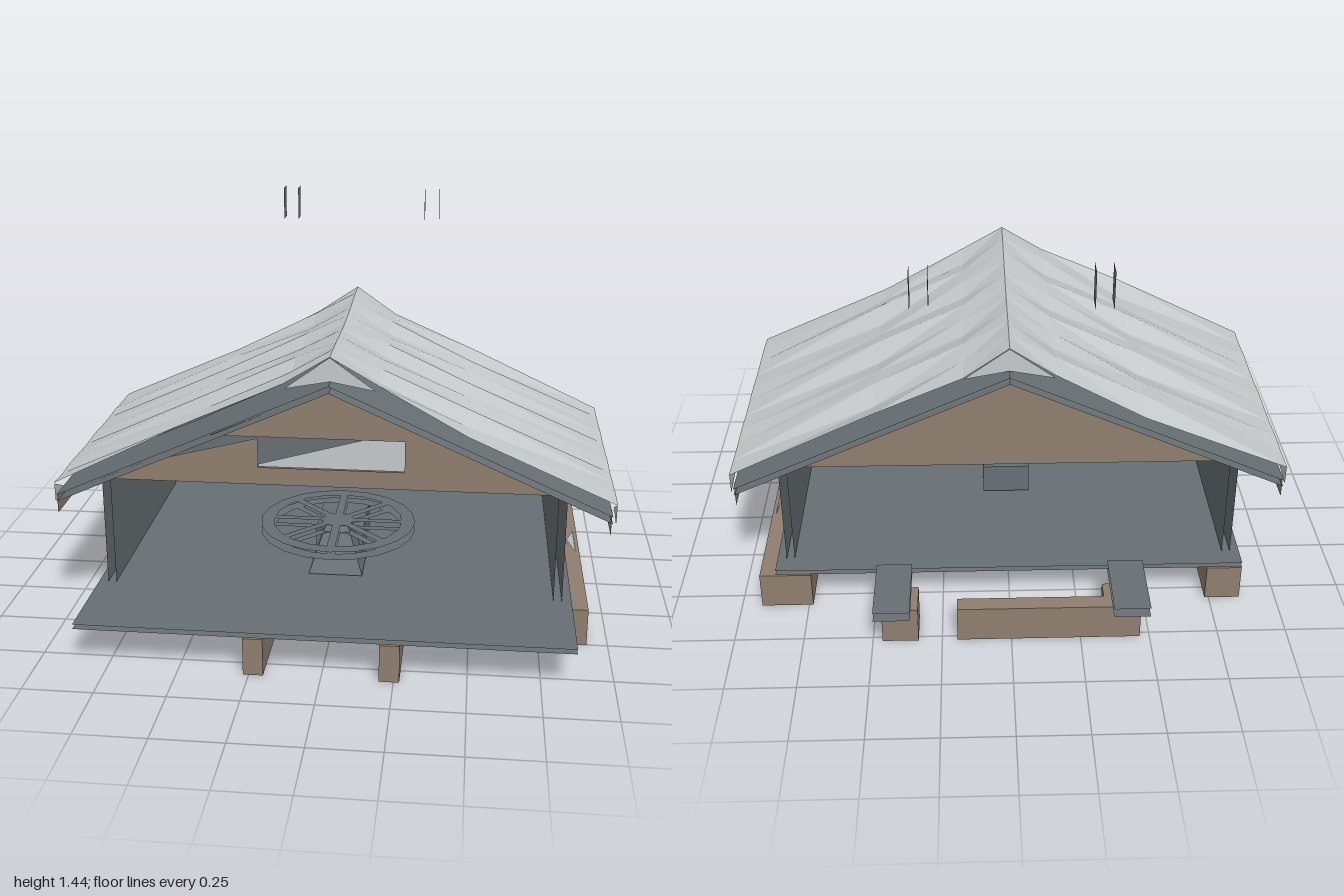
import * as THREE from 'three';

const mat = (name, color) => Object.assign(new THREE.MeshStandardMaterial({ color, side: THREE.DoubleSide, flatShading: true }), { name });

export function createModel() {
  const slate = mat('slate', 0x687074);
  const wood = mat('wood', 0x8f7f6f);
  const snow = mat('snow', 0xc6caca);
  const model = new THREE.Group();

  const add = (name, geo, material, x = 0, y = 0, z = 0) => {
    const m = new THREE.Mesh(geo, material);
    m.name = name;
    m.position.set(x, y, z);
    model.add(m);
    return m;
  };
  // box given by its limits on each axis
  const box = (name, material, x0, x1, y0, y1, z0, z1) =>
    add(name, new THREE.BoxGeometry(x1 - x0, y1 - y0, z1 - z0), material, (x0 + x1) / 2, (y0 + y1) / 2, (z0 + z1) / 2);
  // triangles from a list of points and faces
  const faces = (points, index) => {
    const g = new THREE.BufferGeometry();
    g.setAttribute('position', new THREE.Float32BufferAttribute(points.flat(), 3));
    g.setIndex(index);
    const flat = g.toNonIndexed();
    flat.computeVertexNormals();
    return flat;
  };
  const quad = (name, material, a, b, c, d) => add(name, faces([a, b, c, d], [0, 1, 2, 0, 2, 3]), material);
  const flatShape = (points) => new THREE.ShapeGeometry(new THREE.Shape(points.map(p => new THREE.Vector2(...p))));
  // horizontal sheet, facing up
  const sheet = (name, x0, x1, y, z0, z1) =>
    quad(name, slate, [x0, y, z1], [x1, y, z1], [x1, y, z0], [x0, y, z0]);
  // upright sheet along z, facing the given side
  const wall = (name, material, x, side, y0, y1, z0, z1) => side > 0
    ? quad(name, material, [x, y0, z1], [x, y0, z0], [x, y1, z0], [x, y1, z1])
    : quad(name, material, [x, y0, z0], [x, y0, z1], [x, y1, z1], [x, y1, z0]);

  // floor deck
  sheet('deckTop', -0.865, 0.865, 0.16, -0.56, 0.83);
  sheet('deckUnderside', -0.865, 0.865, 0.143, -0.56, 0.83);

  // foundation timbers
  for (const s of [-1, 1]) {
    box('foundationBeam', wood, s * 0.8 - 0.065, s * 0.8 + 0.065, 0, 0.138, -0.56, 0.565);
    box('porchJoist', wood, s * 0.235 - 0.035, s * 0.235 + 0.035, 0, 0.138, 0.45, 0.83);
    box('stepPost', wood, s * 0.4 - 0.065, s * 0.4 + 0.065, 0, 0.138, -0.77, -0.64);
    sheet('stepPlate', s * 0.425 - 0.065, s * 0.425 + 0.065, 0.15, -0.84, -0.565);
    sheet('stepPlate', s * 0.425 - 0.065, s * 0.425 + 0.065, 0.185, -0.84, -0.565);
  }
  box('outerBeam', wood, 0.865, 0.925, 0, 0.138, -0.56, 0.5);
  box('backBeam', wood, -0.335, 0.195, 0, 0.138, -0.77, -0.71);

  // stepped base under the wheel
  box('wheelBaseWide', wood, -0.3, 0.3, 0, 0.138, 0.05, 0.44);
  box('wheelBaseDeep', wood, -0.21, 0.21, 0.004, 0.136, -0.1, 0.5);

  // side walls, window plates and roof on both sides
  for (const s of [-1, 1]) {
    wall('wallOuter', slate, s * 0.83, s, 0.16, 0.56, -0.49, 0.49);
    wall('wallInner', slate, s * 0.8, -s, 0.16, 0.57, -0.49, 0.49);
    for (const z of [-0.15, 0.15]) wall('windowPlate', slate, s * 0.836, s, 0.365, 0.5, z - 0.093, z + 0.093);
    wall('eaveBoard', wood, s * 0.977, s, 0.46, 0.525, -0.56, 0.56);

    for (const [name, drop] of [['roofTop', 0], ['roofUnderside', 0.025]]) {
      const a = [0, 0.965 - drop, 0.56], b = [s * 0.982, 0.527 - drop, 0.56];
      const c = [s * 0.982, 0.527 - drop, -0.56], d = [0, 0.965 - drop, -0.56];
      if (s > 0) quad(name, slate, a, b, c, d);
      else quad(name, slate, d, c, b, a);
    }

    // floating pairs of plates behind the roof
    for (const dx of [-0.03, 0.03]) wall('chimneyPlate', slate, s * 0.295 + dx, s, 1.31, 1.44, -0.73, -0.66);
  }

  // gables: the front one has a window and a gap beside it
  const triangle = [[-0.83, 0.57], [0.83, 0.57], [0, 0.938]];
  add('frontGable', flatShape([[-0.83, 0.57], [0.83, 0.57], [0, 0.938], [-0.43, 0.75], [0.26, 0.75],
    [0.26, 0.635], [-0.26, 0.635], [-0.26, 0.745], [-0.68, 0.637]]), wood, 0, 0, 0.49);
  add('windowPane', flatShape([[-0.26, 0.635], [0.26, 0.635], [0.26, 0.75], [0.12, 0.75], [-0.26, 0.645]]), snow, 0, 0, 0.482);
  add('frontGableLining', flatShape(triangle), slate, 0, 0, 0.465).rotation.y = Math.PI;
  add('backGable', flatShape(triangle), wood, 0, 0, -0.49).rotation.y = Math.PI;
  add('backGableLining', flatShape(triangle), slate, 0, 0, -0.47);

  // snow blanket: rows across each slope, gently uneven along z
  const rows = [[0, 1.05, 0.008], [0.16, 0.955, 0.014], [0.48, 0.795, 0.022], [1, 0.557, 0.003]];
  const n = 10;
  for (const s of [-1, 1]) {
    const pts = [], idx = [];
    rows.forEach(([x, y, amp], r) => {
      for (let i = 0; i <= n; i++) {
        const t = i / n;
        const wave = r === 0 ? -Math.cos(t * Math.PI * 2 + Math.PI) : Math.sin(i * 2.2 + r * 1.3 + s);
        pts.push([s * x, y + amp * wave, 0.52 - 1.04 * t]);
        if (r < 3 && i < n) {
          const a = r * (n + 1) + i, b = a + n + 1;
          idx.push(...(s > 0 ? [a, b, b + 1, a, b + 1, a + 1] : [a, b + 1, b, a, a + 1, b + 1]));
        }
      }
    });
    add('snowSlope', faces(pts, idx), snow);

    // hanging snow along the eave, as (z, y) outlines
    const drips = [
      [[0.52, 0.555], [0.52, 0.49], [0.5, 0.482], [0.42, 0.507]],
      [[0.27, 0.555], [0.31, 0.52], [0.2, 0.46], [0.1, 0.475], [0, 0.52], [0.06, 0.555]],
      [[-0.03, 0.555], [-0.01, 0.51], [-0.1, 0.475], [-0.18, 0.46], [-0.32, 0.53], [-0.22, 0.555]],
      [[-0.34, 0.555], [-0.4, 0.505], [-0.52, 0.487], [-0.52, 0.555]],
    ];
    for (const d of drips) {
      const g = flatShape(d.map(([z, y]) => [-z, y]));
      add('snowDrip', g, snow, s * 0.998).rotation.y = Math.PI / 2;
    }
  }
  // snow ends at the ridge
  for (const z of [-0.519, 0.519]) {
    const cap = add('snowRidgeEnd', flatShape([[0, 1.056], [-0.16, 0.94], [0, 0.97], [0.16, 0.94]]), snow, 0, 0, z);
    if (z < 0) cap.rotation.y = Math.PI;
  }

  // small snow drift against the left wall
  add('snowDrift', faces([[0.85, 0.26, -0.03], [0.865, 0.215, 0.12], [0.87, 0.2, -0.12],
    [0.87, 0.2, 0.03], [0.9, 0.185, 0.11], [0.91, 0.142, -0.18], [0.91, 0.142, 0]],
  [0, 1, 2, 3, 4, 6, 3, 6, 5]), snow);

  // wheel lying flat on its stand, in two layers
  const cz = 0.26;
  const stand = add('wheelStand', new THREE.CylinderGeometry(0.04 * Math.SQRT2, 0.1 * Math.SQRT2, 0.18, 4), slate, 0, 0.255, cz);
  stand.rotation.y = Math.PI / 4;
  box('driveBox', slate, -0.09, 0.09, 0.17, 0.285, -0.08, 0.22);
  for (const y of [0.315, 0.345]) {
    add('wheelRim', new THREE.RingGeometry(0.24, 0.29, 20), slate, 0, y, cz).rotation.x = -Math.PI / 2;
    add('wheelHub', new THREE.CircleGeometry(0.06, 12), slate, 0, y, cz).rotation.x = -Math.PI / 2;
    for (let i = 0; i < 4; i++) {
      const spoke = add('wheelSpokes', new THREE.PlaneGeometry(0.5, 0.03), slate, 0, y + 0.002, cz);
      spoke.rotation.set(-Math.PI / 2, 0, i * Math.PI / 4);
    }
  }
  return model;
}
